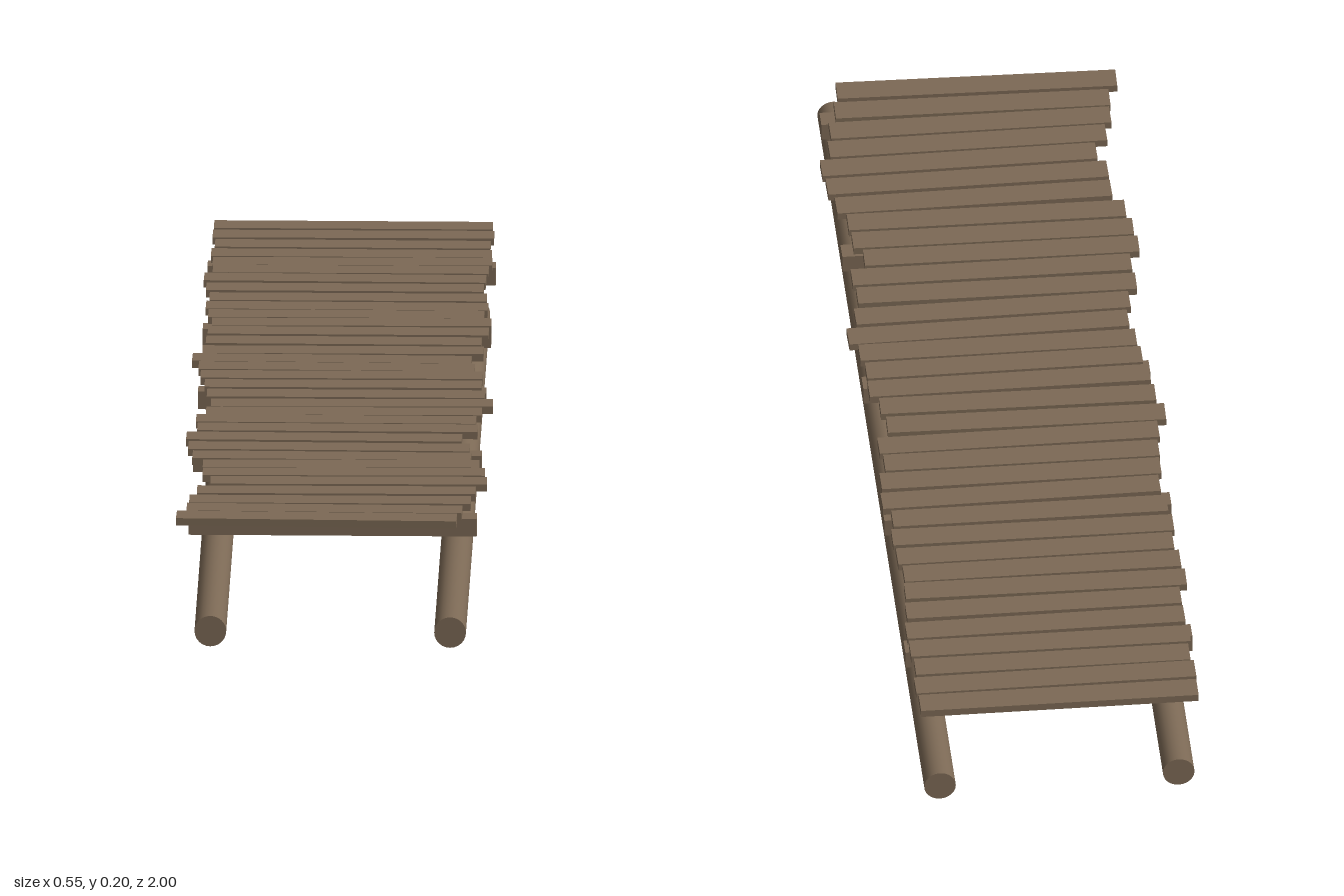
import * as THREE from 'three';

export function createModel() {
  const model = new THREE.Group();
  model.name = 'plankWalkway';
  const wood = new THREE.MeshStandardMaterial({ color: 0x7c6955 });
  wood.name = 'weatheredWood';

  const add = (geometry, name, x, y, z, yaw = 0) => {
    const mesh = new THREE.Mesh(geometry, wood);
    mesh.name = name;
    mesh.position.set(x, y, z);
    mesh.rotation.y = yaw;
    model.add(mesh);
  };

  // Two long round logs
  const log = new THREE.CylinderGeometry(0.0285, 0.0285, 2, 24).rotateX(Math.PI / 2);
  add(log, 'leftLog', 0.216, 0.0285, 0);
  add(log, 'rightLog', -0.214, 0.0285, 0);

  // Cross beams under the deck
  const beam = new THREE.BoxGeometry(0.517, 0.033, 0.036);
  for (let i = -2; i <= 2; i++) add(beam, 'crossBeam', 0.001, 0.1665, i * 0.393);

  // Deck planks: sideways shift of each, in thousandths, from back to front
  const shifts = [
    0, 1, 1, 0, 3, 1, -8, -7, 0, -1, -1, 10, 5, -2, -2, -21, -11,
    -1, 3, 9, 21, 8, -5, -1, -24, -14, -8, 10, 16, 26, 5, -5, -14, -27,
  ];
  shifts.forEach((shift, i) => {
    const x = shift / 1000;
    const length = 0.5 + 0.006 * Math.sin(i * 2.3);
    const y = 0.1912 + 0.0016 * Math.sin(i * 1.1 + 1.5);
    const yaw = i === 0 ? 0 : x * 0.65 + 0.006 * Math.sin(i * 1.9);
    add(new THREE.BoxGeometry(length, 0.0135, 0.048), 'deckPlank', x, y, -0.976 + i * 0.0551, yaw);
  });

  return model;
}
